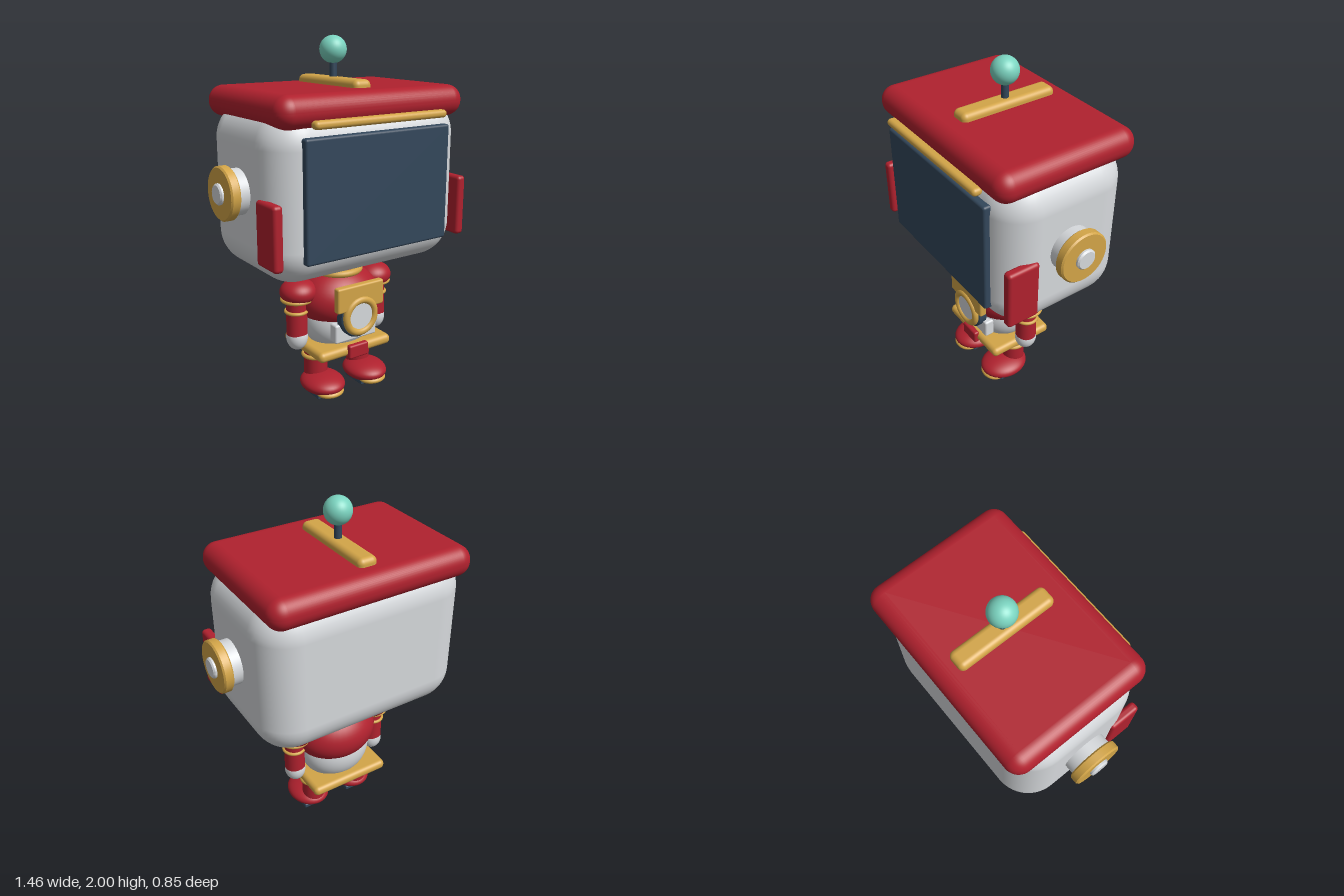
import * as THREE from 'three';
import { RoundedBoxGeometry } from 'three/addons/geometries/RoundedBoxGeometry.js';
import { toCreasedNormals } from 'three/addons/utils/BufferGeometryUtils.js';

const paint = (name, color) => {
  const m = new THREE.MeshStandardMaterial({ color });
  m.name = name;
  return m;
};

export function createModel() {
  const red = paint('red', 0xb0212e);
  const gold = paint('gold', 0xd3a548);
  const white = paint('lightGrey', 0xd6d9dc);
  const navy = paint('navy', 0x33475b);
  const teal = paint('teal', 0x7bd4c0);

  const model = new THREE.Group();
  model.name = 'robot';
  const group = (name) => {
    const g = new THREE.Group();
    g.name = name;
    model.add(g);
    return g;
  };
  const add = (parent, name, geometry, material, x, y, z) => {
    const mesh = new THREE.Mesh(geometry, material);
    mesh.name = name;
    mesh.position.set(x, y, z);
    parent.add(mesh);
    return mesh;
  };
  const box = (w, h, d, r) => new RoundedBoxGeometry(w, h, d, 6, r);
  const ball = (rx, ry, rz) => new THREE.SphereGeometry(1, 40, 28).scale(rx, ry, rz);
  // Upright ring lying in the horizontal plane
  const ring = (R, r) => new THREE.TorusGeometry(R, r, 12, 40).rotateX(Math.PI / 2);
  // Solid disc along y with a small bevel on both rims
  const disc = (r, h, b = 0.008) => toCreasedNormals(new THREE.LatheGeometry([
    [0, -h / 2], [r - b, -h / 2], [r, -h / 2 + b],
    [r, h / 2 - b], [r - b, h / 2], [0, h / 2],
  ].map(([x, y]) => new THREE.Vector2(x, y)), 48), 0.6);

  // Head with screen and roof
  const head = group('head');
  add(head, 'headShell', box(1.2, 0.9, 0.765, 0.2), white, 0, 1.23, -0.008);
  add(head, 'screen', box(0.9, 0.625, 0.05, 0.014), navy, 0, 1.232, 0.375);
  add(head, 'roof', box(1.15, 0.165, 0.816, 0.08), red, 0, 1.662, -0.018);
  add(head, 'browStrip', box(0.82, 0.042, 0.056, 0.02), gold, 0, 1.605, 0.398);
  add(head, 'roofCrest', box(0.108, 0.08, 0.556, 0.03), gold, 0, 1.745, -0.036);

  // Antenna
  const antenna = group('antenna');
  add(antenna, 'antennaStem', new THREE.CylinderGeometry(0.02, 0.02, 0.14, 24), navy, 0, 1.82, -0.036);
  add(antenna, 'antennaBall', ball(0.073, 0.073, 0.073), teal, 0, 1.927, -0.036);

  // Neck and torso
  const torso = group('torso');
  add(torso, 'neck', new THREE.CylinderGeometry(0.083, 0.083, 0.14, 32), navy, 0, 0.74, 0);
  add(torso, 'collar', ring(0.127, 0.02), gold, 0, 0.718, 0);
  add(torso, 'chest', ball(0.25, 0.18, 0.21), red, 0, 0.56, 0.002);
  add(torso, 'belly', ball(0.215, 0.2, 0.178), white, 0, 0.43, 0.002);
  add(torso, 'chestPlate', box(0.31, 0.145, 0.045, 0.012), gold, 0, 0.613, 0.215);
  add(torso, 'bellyPlate', box(0.28, 0.11, 0.06, 0.012), white, 0, 0.4, 0.162);
  add(torso, 'lensBase', disc(0.12, 0.06), navy, 0, 0.492, 0.195).rotation.x = Math.PI / 2;
  add(torso, 'lens', disc(0.085, 0.05), white, 0, 0.5, 0.213).rotation.x = Math.PI / 2;
  add(torso, 'lensRing', new THREE.TorusGeometry(0.094, 0.021, 14, 48), gold, 0, 0.5, 0.23);

  // Belt
  const belt = group('belt');
  add(belt, 'beltPlate', box(0.49, 0.06, 0.4, 0.028), gold, 0, 0.285, 0.002);
  add(belt, 'buckle', box(0.13, 0.08, 0.035, 0.012), red, 0, 0.285, 0.205);

  for (const [side, s] of [['left', 1], ['right', -1]]) {
    // Ear and cheek guard
    const ear = group(side + 'Ear');
    const earDisc = (name, r, h, mat, x) => {
      add(ear, name, disc(r, h), mat, s * x, 1.243, 0).rotation.z = Math.PI / 2;
    };
    earDisc('earBase', 0.12, 0.11, white, 0.607);
    earDisc('earDisc', 0.14, 0.054, gold, 0.683);
    earDisc('earCap', 0.055, 0.07, white, 0.693);
    add(ear, 'cheekGuard', box(0.055, 0.335, 0.184, 0.02), red, s * 0.588, 1.073, 0.281);

    // Arm
    const arm = group(side + 'Arm');
    add(arm, 'shoulder', ball(0.105, 0.073, 0.105), red, s * 0.26, 0.628, 0);
    add(arm, 'upperArmRing', ring(0.082, 0.011), gold, s * 0.271, 0.587, 0);
    add(arm, 'armTube', new THREE.CylinderGeometry(0.057, 0.06, 0.24, 32), red, s * 0.273, 0.5, 0);
    add(arm, 'lowerArmRing', ring(0.059, 0.01), gold, s * 0.275, 0.516, 0);
    add(arm, 'hand', ball(0.061, 0.077, 0.063), white, s * 0.273, 0.361, 0);

    // Leg
    const leg = group(side + 'Leg');
    const x = s * 0.15;
    add(leg, 'legTube', new THREE.CylinderGeometry(0.068, 0.068, 0.19, 32), red, x, 0.175, 0.002);
    add(leg, 'legRing', ring(0.072, 0.012), gold, x, 0.225, 0.002);
    add(leg, 'shoe', ball(0.122, 0.056, 0.145), red, x, 0.075, 0.07);
    add(leg, 'toeCap', ball(0.083, 0.028, 0.07), gold, x, 0.046, 0.148);
    add(leg, 'sole', box(0.145, 0.026, 0.16, 0.006), navy, x, 0.021, 0.058);
    add(leg, 'soleRing', disc(0.053, 0.02, 0.004), white, x, 0.012, 0.058);
    add(leg, 'soleCentre', disc(0.03, 0.008, 0.002), red, x, 0.004, 0.058);
  }
  return model;
}
